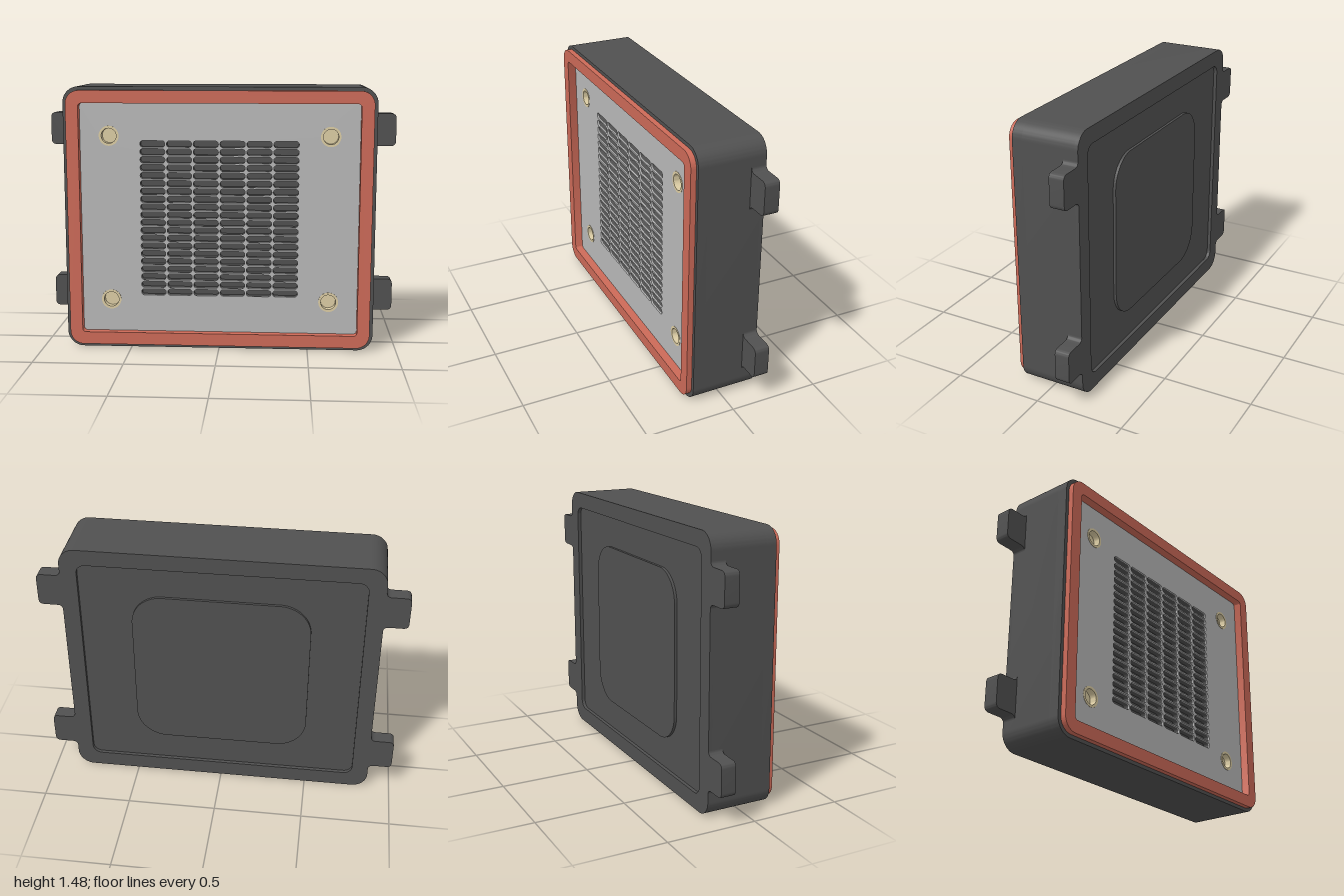
import * as THREE from 'three';
import { toCreasedNormals } from 'three/addons/utils/BufferGeometryUtils.js';

const CY = 0.74; // height of the housing's centre

// Rounded rectangle centred on (cx, cy), added to a Shape or Path
function roundRect(path, cx, cy, w, h, r) {
  const x = w / 2 - r, y = h / 2 - r;
  path.moveTo(cx - x, cy - y - r);
  path.absarc(cx + x, cy - y, r, -Math.PI / 2, 0, false);
  path.absarc(cx + x, cy + y, r, 0, Math.PI / 2, false);
  path.absarc(cx - x, cy + y, r, Math.PI / 2, Math.PI, false);
  path.absarc(cx - x, cy - y, r, Math.PI, Math.PI * 1.5, false);
  path.closePath();
  return path;
}
const rectShape = (w, h, r) => roundRect(new THREE.Shape(), 0, CY, w, h, r);
const rectHole = (w, h, r) => roundRect(new THREE.Path(), 0, CY, w, h, r);

// Extrude a shape between two depths
function slab(name, shape, z0, z1, material, curveSegments = 10) {
  const g = new THREE.ExtrudeGeometry(shape, { depth: z1 - z0, bevelEnabled: false, curveSegments });
  g.translate(0, 0, z0);
  const mesh = new THREE.Mesh(toCreasedNormals(g, 0.6), material);
  mesh.name = name;
  return mesh;
}

export function createModel() {
  const model = new THREE.Group();
  model.name = 'ventedBox';
  const dark = new THREE.MeshStandardMaterial({ color: 0x505050 });
  const red = new THREE.MeshStandardMaterial({ color: 0xcc6a58 });
  const grey = new THREE.MeshStandardMaterial({ color: 0xb8b8b8 });
  const brass = new THREE.MeshStandardMaterial({ color: 0xdccda4 });
  brass.side = THREE.DoubleSide;

  // Housing: recessed back, solid core and a thin front rim
  const housing = new THREE.Group();
  housing.name = 'housing';
  const W = 1.735, H = 1.48, R = 0.09;
  const back = rectShape(W, H, R);
  back.holes.push(rectHole(1.55, 1.3, 0.05));
  const rim = rectShape(W, H, R);
  rim.holes.push(rectHole(1.695, 1.44, 0.075));
  housing.add(
    slab('backFrame', back, -0.2, -0.18, dark),
    slab('core', rectShape(W, H, R), -0.18, 0.115, dark),
    slab('frontRim', rim, 0.115, 0.172, dark),
    slab('backPad', rectShape(0.98, 0.95, 0.17), -0.195, -0.18, dark, 16)
  );
  model.add(housing);

  // Mounting tabs with filleted roots
  for (const s of [1, -1]) for (const cy of [0.255, 1.225]) {
    const h = 0.093, f = 0.03, r = 0.03, root = 0.867;
    const t = new THREE.Shape();
    t.moveTo(s * root, cy - h - f);
    t.quadraticCurveTo(s * root, cy - h, s * (root + f), cy - h);
    t.lineTo(s * (1 - r), cy - h);
    t.quadraticCurveTo(s, cy - h, s, cy - h + r);
    t.lineTo(s, cy + h - r);
    t.quadraticCurveTo(s, cy + h, s * (1 - r), cy + h);
    t.lineTo(s * (root + f), cy + h);
    t.quadraticCurveTo(s * root, cy + h, s * root, cy + h + f);
    t.closePath();
    model.add(slab('mountingTab', t, -0.2, -0.118, dark, 8));
  }

  // Raised sealing gasket
  const seal = rectShape(1.695, 1.44, 0.075);
  seal.holes.push(rectHole(1.555, 1.3, 0.02));
  model.add(slab('gasket', seal, 0.115, 0.202, red));

  // Front panel with vent slots and insert holes, over a dark slotted plate
  const plate = rectShape(1.555, 1.3, 0.02);
  for (let row = 0; row < 20; row++) for (let col = 0; col < 6; col++) {
    const x = (col - 2.5) * 0.149, y = CY + (row - 9.5) * 0.0445;
    plate.holes.push(roundRect(new THREE.Path(), x, y, 0.139, 0.036, 0.0165));
  }
  const inserts = [];
  for (const x of [-0.616, 0.616]) for (const y of [CY - 0.467, CY + 0.467]) {
    inserts.push([x, y]);
    plate.holes.push(new THREE.Path().absarc(x, y, 0.053, 0, Math.PI * 2, true));
  }
  model.add(slab('ventPlate', plate, 0.115, 0.147, dark, 5));
  model.add(slab('frontPanel', plate, 0.147, 0.155, grey, 5));

  // Brass threaded-insert cups
  const profile = [[0, -0.038], [0.042, -0.038], [0.042, 0.002], [0.056, 0.002], [0.056, -0.002]]
    .map(([r, y]) => new THREE.Vector2(r, y));
  const cup = toCreasedNormals(new THREE.LatheGeometry(profile, 32).rotateX(Math.PI / 2), 0.6);
  for (const [x, y] of inserts) {
    const mesh = new THREE.Mesh(cup, brass);
    mesh.name = 'brassInsert';
    mesh.position.set(x, y, 0.155);
    model.add(mesh);
  }
  return model;
}
